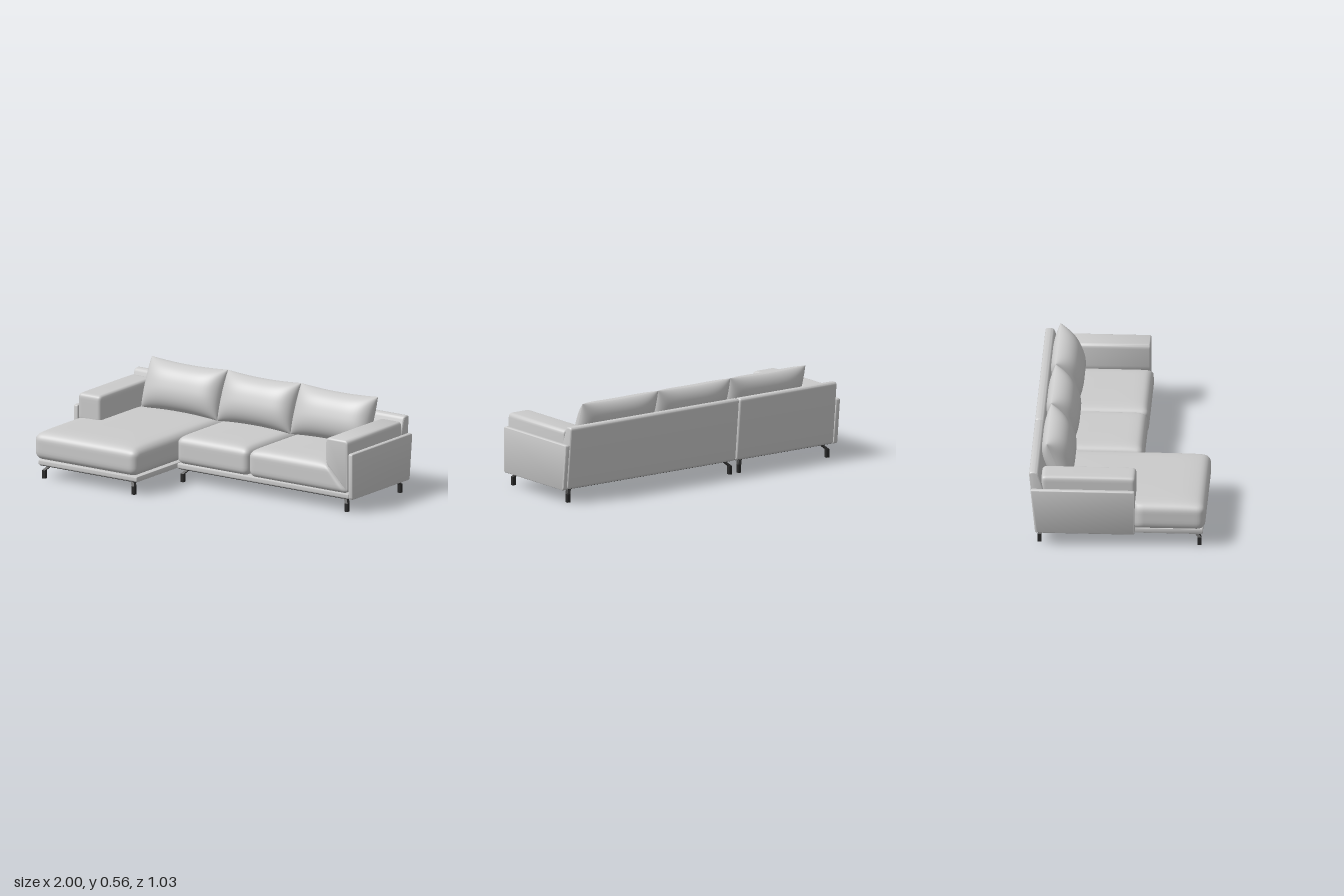
import * as THREE from 'three';
import { mergeVertices, mergeGeometries, toCreasedNormals } from 'three/addons/utils/BufferGeometryUtils.js';

const fabric = new THREE.MeshStandardMaterial({ color: 0xcccccc });
const dark = new THREE.MeshStandardMaterial({ color: 0x2a2a2a });

// Apply a rule to every vertex
function reshape(geo, rule) {
  const p = geo.attributes.position;
  const v = new THREE.Vector3();
  for (let i = 0; i < p.count; i++) {
    v.fromBufferAttribute(p, i);
    rule(v);
    p.setXYZ(i, v.x, v.y, v.z);
  }
  return geo;
}

// Vertices gather towards the edges, where the curvature is
const ease = t => Math.sin(t * Math.PI / 2);

// Upholstered block between two corners: rounded edges and a crowned top
function softBox([x0, x1], [y0, y1], [z0, z1], r, crown, rule = () => {}) {
  const half = new THREE.Vector3(x1 - x0, y1 - y0, z1 - z0).multiplyScalar(0.5);
  const inner = half.clone().subScalar(r);
  const core = new THREE.Vector3();
  let geo = new THREE.BoxGeometry(2, 2, 2, 40, 14, 40);
  geo.deleteAttribute('uv');
  geo.deleteAttribute('normal');
  reshape(geo, v => {
    v.set(ease(v.x), ease(v.y), ease(v.z)).multiply(half);
    core.copy(v).clamp(inner.clone().negate(), inner);
    v.sub(core).setLength(r).add(core);
    const a = Math.abs(v.x / half.x) ** 8, b = Math.abs(v.z / half.z) ** 8;
    if (v.y > 0) v.y -= crown * (1 - (1 - a) * (1 - b)) * (v.y / half.y);
    v.x += (x0 + x1) / 2;
    v.y += (y0 + y1) / 2;
    v.z += (z0 + z1) / 2;
    rule(v);
  });
  geo = mergeVertices(geo, 1e-5);
  geo.computeVertexNormals();
  return geo;
}

// Rounded polygon extruded from a to b with bevelled ends
function prism(points, a, b, r) {
  const pts = points.map(p => new THREE.Vector2(...p));
  const shape = new THREE.Shape();
  pts.forEach((p, i) => {
    const prev = pts[(i + pts.length - 1) % pts.length], next = pts[(i + 1) % pts.length];
    const s = prev.clone().sub(p).setLength(r * 1.5).add(p);
    const e = next.clone().sub(p).setLength(r * 1.5).add(p);
    if (i) shape.lineTo(s.x, s.y); else shape.moveTo(s.x, s.y);
    shape.quadraticCurveTo(p.x, p.y, e.x, e.y);
  });
  shape.closePath();
  const bevel = r * 0.7;
  const geo = new THREE.ExtrudeGeometry(shape, {
    depth: b - a - 2 * bevel, curveSegments: 5, bevelSegments: 4,
    bevelSize: bevel, bevelThickness: bevel, bevelOffset: -bevel,
  });
  geo.translate(0, 0, a + bevel);
  return toCreasedNormals(geo, 0.7);
}

// Profile given as (-z, y), extruded along x
const sidePrism = (points, a, b, r) => prism(points, a, b, r).rotateY(Math.PI / 2);

// Pillow: two bulging halves meeting in a sharp seam
function pillow(w, h) {
  const bulge = depth => {
    const geo = reshape(new THREE.PlaneGeometry(2, 2, 30, 30), p => {
      const u = ease(p.x), v = ease(p.y);
      const t = Math.sqrt(Math.max(0, 1 - u ** 4)) * Math.max(0, 1 - Math.abs(v) ** 2.5) ** 0.6;
      p.x = u * w / 2 * (1 - 0.02 * (1 - v * v));
      p.y = v * h / 2 * (1 - 0.08 * (1 - u * u));
      p.z = depth * t;
    });
    geo.computeVertexNormals();
    return geo;
  };
  return mergeGeometries([bulge(0.092), bulge(0.08).rotateY(Math.PI)]);
}

// Bent leg: upright foot, upper part kinked inwards along both axes
function leg(dx, dz) {
  const geo = reshape(new THREE.BoxGeometry(0.02, 2, 0.022, 1, 2, 1), v => {
    if (v.y > 0.5) { v.x += dx; v.z += dz; }
    v.y = v.y < -0.5 ? 0 : v.y > 0.5 ? 0.082 : 0.05;
  }).toNonIndexed();
  geo.computeVertexNormals();
  return geo;
}

export function createModel() {
  const group = new THREE.Group();
  const add = (name, geo, mat = fabric) => {
    const mesh = new THREE.Mesh(geo, mat);
    mesh.name = name;
    group.add(mesh);
    return mesh;
  };

  // Two modules: chaise and two-seater, each with base, underside, back and legs
  const modules = [
    { name: 'chaise', x: [-0.967, -0.263], front: 0.5, legs: [-0.937, -0.297] },
    { name: 'sofa', x: [-0.257, 0.967], front: 0.1, legs: [-0.23, 0.945] },
  ];
  for (const { name, x: [x0, x1], front, legs } of modules) {
    add(name + 'Base', sidePrism([[-front, 0.08], [0.45, 0.08], [0.45, 0.112], [-front, 0.112]], x0, x1, 0.006));
    const under = new THREE.BoxGeometry(x1 - x0 - 0.016, 0.004, front + 0.455);
    under.translate((x0 + x1) / 2, 0.08, (front - 0.465) / 2);
    add(name + 'Underside', under, dark);
    add(name + 'Back', sidePrism(
      [[0.4, 0.08], [0.48, 0.08], [0.518, 0.459], [0.466, 0.459], [0.425, 0.33]], x0, x1, 0.014));
    legs.forEach((x, i) => {
      for (const z of [front - 0.02, -0.455]) {
        add(name + 'Leg', leg(i ? -0.03 : 0.03, z > -0.4 ? -0.032 : 0.032), dark).position.set(x, 0, z);
      }
    });
  }

  // Outer side panels
  const panel = [[-0.103, 0.08], [0.479, 0.08], [0.507, 0.355], [-0.103, 0.355]];
  add('leftSidePanel', sidePrism(panel, 0.968, 0.998, 0.009));
  add('rightSidePanel', sidePrism(panel, -0.998, -0.968, 0.009));

  // Arms: one rests on the chaise, the other is mitred down to the base
  add('rightArm', softBox([-0.966, -0.805], [0.26, 0.432], [-0.445, 0.105], 0.022, 0.003));
  add('leftArm', prism(
    [[0.966, 0.115], [0.966, 0.432], [0.807, 0.432], [0.807, 0.27]], -0.445, 0.105, 0.018));

  // Seat cushions
  add('chaiseCushion', softBox([-0.998, -0.261], [0.112, 0.287], [-0.42, 0.515], 0.048, 0.02, v => {
    if (v.z < 0.105) v.x = Math.max(v.x, -0.966);
  }));
  add('middleSeatCushion', softBox([-0.257, 0.257], [0.112, 0.287], [-0.42, 0.117], 0.04, 0.02));
  add('leftSeatCushion', softBox([0.261, 0.966], [0.112, 0.287], [-0.42, 0.122], 0.04, 0.02, v => {
    const edge = 0.97 - Math.max(0, v.y - 0.12) * 0.95;
    if (v.x > 0.6) v.x = 0.6 + (v.x - 0.6) * (edge - 0.6) / 0.366;
  }));

  // Leaning back pillows
  for (const [x0, x1] of [[-0.808, -0.262], [-0.262, 0.262], [0.262, 0.812]]) {
    const mesh = add('backPillow', pillow(x1 - x0, 0.305));
    mesh.position.set((x0 + x1) / 2, 0.422, -0.365);
    mesh.rotation.x = -0.37;
  }
  return group;
}
